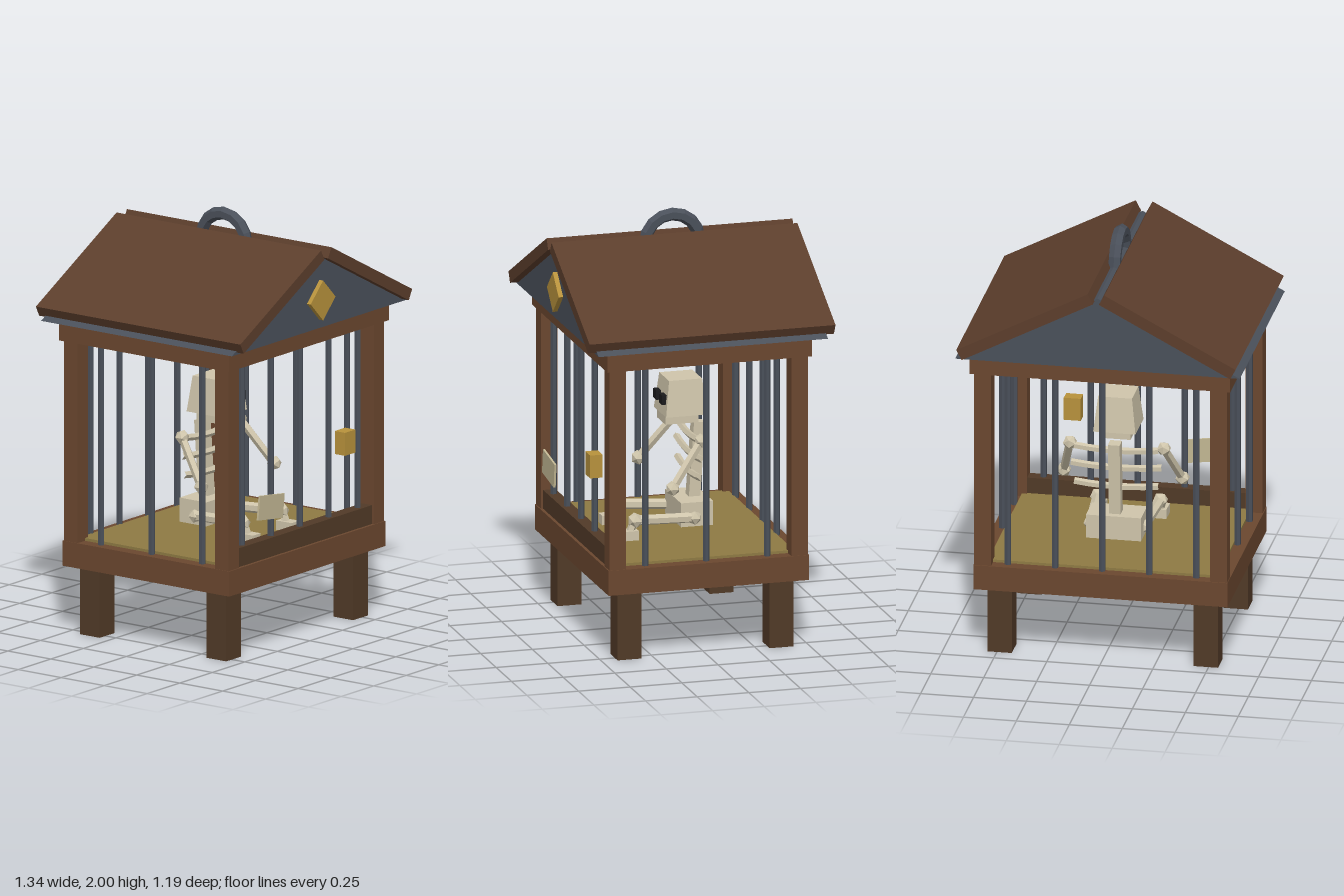
import * as THREE from 'three';

const mat = (color) => new THREE.MeshStandardMaterial({ color, flatShading: true });

export function createModel() {
  const model = new THREE.Group();
  const wood = mat(0x6b472f), darkWood = mat(0x513a27), roofWood = mat(0x5c3e2c);
  const iron = mat(0x4a505a), gold = mat(0xb8923c), straw = mat(0x8e7a43);
  const bone = mat(0xcfc5ab), paper = mat(0xc2b793), black = mat(0x1a1a1c);

  const add = (name, geo, material, x = 0, y = 0, z = 0, parent = model) => {
    const m = new THREE.Mesh(geo, material);
    m.name = name;
    m.position.set(x, y, z);
    parent.add(m);
    return m;
  };
  const box = (name, w, h, d, material, x, y, z, parent) =>
    add(name, new THREE.BoxGeometry(w, h, d), material, x, y, z, parent);
  // straight rod between two points
  const rod = (name, a, b, r, sides, material, parent) => {
    const from = new THREE.Vector3(...a), to = new THREE.Vector3(...b);
    const dir = to.clone().sub(from);
    const m = add(name, new THREE.CylinderGeometry(r, r, dir.length(), sides), material, 0, 0, 0, parent);
    m.position.copy(from).add(to).multiplyScalar(0.5);
    m.quaternion.setFromUnitVectors(new THREE.Vector3(0, 1, 0), dir.normalize());
    return m;
  };

  // Base, floor and top frame
  box('base', 1.2, 0.12, 0.97, wood, 0, 0.39, 0);
  box('strawFloor', 1.08, 0.02, 0.86, straw, 0, 0.453, 0);
  box('frontSill', 1.04, 0.09, 0.06, darkWood, 0, 0.495, 0.44);
  box('topFrame', 1.23, 0.095, 0.99, wood, 0, 1.457, 0);

  // Feet and corner posts
  for (const sx of [-1, 1]) for (const sz of [-1, 1]) {
    box('foot', 0.115, 0.335, 0.115, darkWood, sx * 0.487, 0.1675, sz * 0.368);
    box('cornerPost', 0.08, 0.97, 0.08, wood, sx * 0.557, 0.93, sz * 0.44);
  }

  // Iron bars on all four sides
  for (const s of [-1, 1]) {
    for (const x of [-0.445, -0.222, 0, 0.222, 0.445])
      rod('endBar', [x, 0.44, s * 0.44], [x, 1.42, s * 0.44], 0.016, 6, iron);
    for (const z of [-0.295, 0, 0.295])
      rod('sideBar', [s * 0.555, 0.44, z], [s * 0.555, 1.42, z], 0.016, 6, iron);
  }

  // Gabled roof
  const gable = new THREE.Shape();
  gable.moveTo(-0.672, 1.505).lineTo(0.672, 1.505).lineTo(0, 1.856).closePath();
  add('gable', new THREE.ExtrudeGeometry(gable, { depth: 1.11, bevelEnabled: false }), iron, 0, 0, -0.555);
  for (const s of [-1, 1]) {
    const slab = box('roofSlab', 0.7, 0.055, 1.19, roofWood, s * 0.337, 1.703, 0);
    slab.rotation.z = -s * 0.483;
  }
  box('diamondPlate', 0.135, 0.135, 0.04, gold, 0, 1.64, 0.557).rotation.z = Math.PI / 4;
  add('handle', new THREE.TorusGeometry(0.13, 0.031, 6, 8, Math.PI), iron, 0, 1.84, 0).rotation.y = Math.PI / 2;

  // Lock and hanging notice
  box('lock', 0.08, 0.11, 0.06, gold, 0.31, 0.885, 0.47);
  box('notice', 0.19, 0.115, 0.01, paper, -0.305, 0.703, 0.503).rotation.z = -0.13;

  // Seated skeleton
  const skeleton = new THREE.Group();
  skeleton.name = 'skeleton';
  model.add(skeleton);
  const ball = (name, r, x, y, z) => add(name, new THREE.IcosahedronGeometry(r, 0), bone, x, y, z, skeleton);

  const skullGeo = new THREE.CylinderGeometry(0.08 * Math.SQRT2, 0.1 * Math.SQRT2, 0.17, 4);
  skullGeo.rotateY(Math.PI / 4);
  add('skull', skullGeo, bone, 0, 1.105, -0.042, skeleton);
  box('jaw', 0.14, 0.045, 0.16, bone, 0, 1.0, -0.028, skeleton);
  box('spine', 0.055, 0.4, 0.055, bone, 0, 0.765, -0.112, skeleton).rotation.x = -0.07;
  box('pelvis', 0.26, 0.115, 0.155, bone, 0, 0.553, -0.083, skeleton);

  // Ribs, dipping slightly in the middle
  [[0.915, 0.2], [0.83, 0.215], [0.737, 0.2]].forEach(([y, w]) => {
    const path = new THREE.QuadraticBezierCurve3(
      new THREE.Vector3(-w, y + 0.008, -0.085),
      new THREE.Vector3(0, y - 0.024, -0.075),
      new THREE.Vector3(w, y + 0.008, -0.085));
    add('rib', new THREE.TubeGeometry(path, 6, 0.017, 5), bone, 0, 0, 0, skeleton);
  });

  // Eyes, arms and legs, mirrored
  for (const s of [-1, 1]) {
    box('eyeSocket', 0.05, 0.045, 0.03, black, s * 0.046, 1.097, 0.055, skeleton);
    ball('shoulder', 0.035, s * 0.222, 0.932, -0.075);
    rod('arm', [s * 0.222, 0.932, -0.075], [s * 0.28, 0.73, 0.08], 0.02, 5, bone, skeleton);
    ball('hand', 0.036, s * 0.28, 0.73, 0.08);
    ball('hip', 0.036, s * 0.125, 0.537, -0.07);
    rod('thigh', [s * 0.125, 0.537, -0.07], [s * 0.148, 0.552, 0.225], 0.025, 6, bone, skeleton);
    ball('knee', 0.038, s * 0.148, 0.552, 0.222);
    rod('shin', [s * 0.148, 0.552, 0.225], [s * 0.148, 0.48, 0.255], 0.02, 5, bone, skeleton);
    box('skeletonFoot', 0.06, 0.045, 0.09, bone, s * 0.148, 0.486, 0.258, skeleton);
  }
  return model;
}
